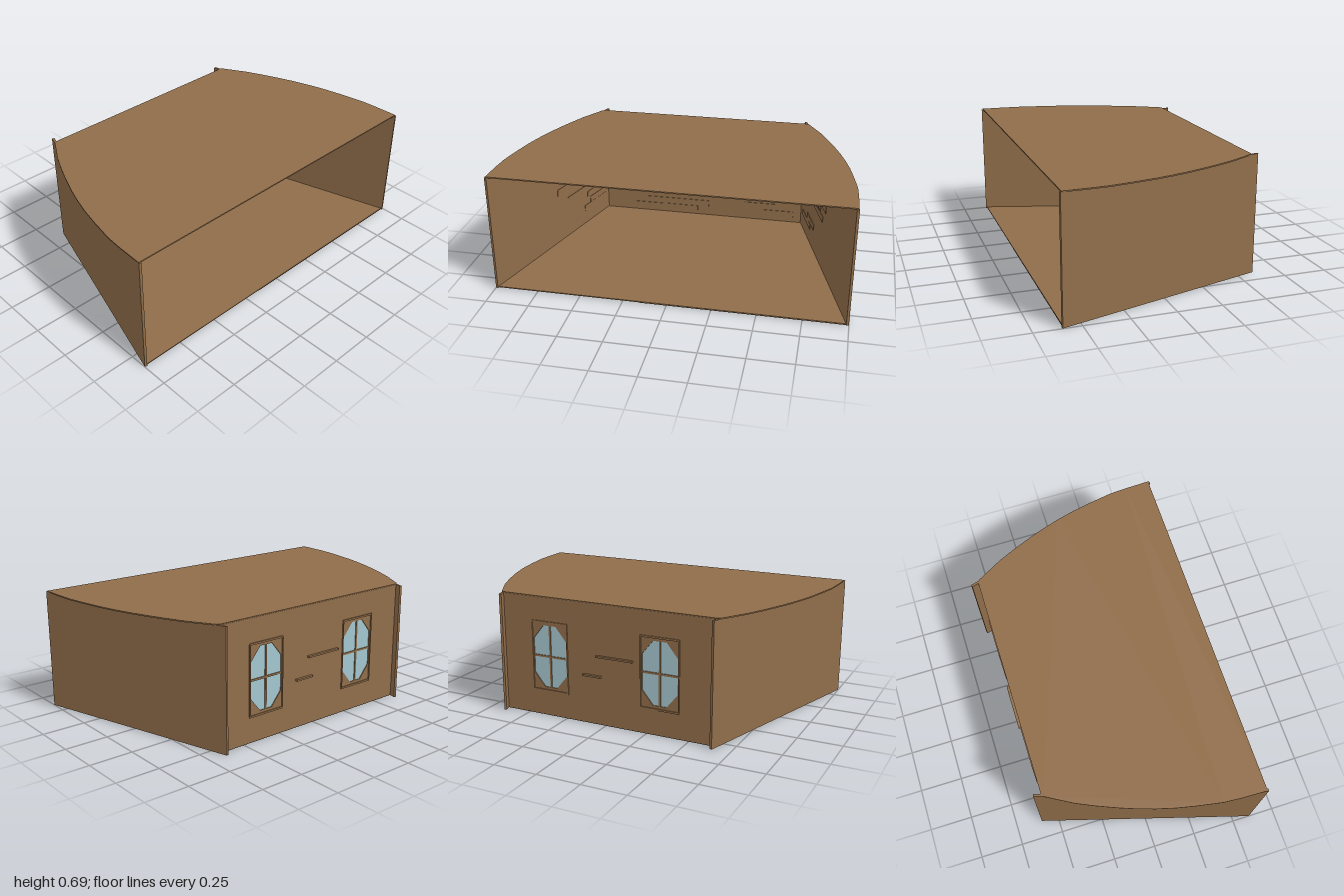
import * as THREE from 'three';

export function createModel() {
  const model = new THREE.Group();
  const wood = new THREE.MeshStandardMaterial({ color: 0x906d4a });
  wood.name = 'brown wood';
  const glass = new THREE.MeshStandardMaterial({ color: 0xa3c6ce });
  glass.name = 'pale blue glass';
  const black = new THREE.MeshStandardMaterial({ color: 0x050505 });
  black.name = 'black underside';

  const add = (parent, name, geo, mat = wood) => {
    const mesh = new THREE.Mesh(geo, mat);
    mesh.name = name;
    parent.add(mesh);
    return mesh;
  };
  const box = (parent, name, w, h, d, x, y, z) =>
    add(parent, name, new THREE.BoxGeometry(w, h, d).translate(x, y, z));
  const shapeOf = (pts) => new THREE.Shape(pts.map(([a, b]) => new THREE.Vector2(a, b)));
  // Horizontal slab from an x,z outline, hanging down from the given top
  const slab = (name, pts, top, depth, mat) =>
    add(model, name, new THREE.ExtrudeGeometry(shapeOf(pts), { depth, bevelEnabled: false })
      .rotateX(Math.PI / 2).translate(0, top, 0), mat);

  // Roof with bowed sides
  const bow = [[-0.545, 0.668], [-0.4, 0.752], [-0.3, 0.798], [-0.2, 0.84], [-0.1, 0.878],
    [0, 0.91], [0.1, 0.937], [0.2, 0.958], [0.35, 0.985], [0.45, 0.992], [0.595, 0.997]];
  const mirrored = bow.map(([x, z]) => [x, -z]).reverse();
  slab('roof', [[-0.555, 0.65], ...bow, ...mirrored, [-0.555, -0.65]], 0.695, 0.007, wood);

  // Floor and its partly blackened underside
  slab('floor', [[-0.555, 0.655], [0.597, 0.995], [0.597, -0.995], [-0.555, -0.655]], 0.008, 0.006, wood);
  slab('floorUnderside', [[-0.555, 0.655], [0.18, 0.872], [0.24, 0.26], [0.597, 0.15],
    [0.597, -0.995], [-0.555, -0.655]], 0.002, 0.002, black);

  // Slanted side walls running past the window wall, with bricks on the inner face
  const slant = Math.atan2(0.35, 1.2);
  const length = Math.hypot(0.35, 1.2);
  const sideBricks = {
    1: [[0.73, 0.6, 0.07, 0.038], [0.755, 0.56, 0.065, 0.042], [0.795, 0.338, 0.06, 0.042],
      [0.71, 0.2, 0.05, 0.035], [0.675, 0.152, 0.06, 0.038], [0.71, 0.113, 0.07, 0.038],
      [0.69, 0.408, 0.1, 0.006], [0.745, 0.265, 0.1, 0.006]],
    '-1': [[0.76, 0.625, 0.06, 0.04], [0.735, 0.585, 0.06, 0.04], [0.805, 0.4, 0.065, 0.042],
      [0.77, 0.358, 0.065, 0.042], [0.79, 0.31, 0.06, 0.035], [0.74, 0.155, 0.05, 0.038],
      [0.71, 0.115, 0.06, 0.038]],
  };
  for (const s of [1, -1]) {
    const side = new THREE.Group();
    side.name = s > 0 ? 'frontSide' : 'backSide';
    side.position.set(-0.6, 0, s * 0.65);
    side.rotation.y = -s * slant;
    box(side, 'sideWall', length, 0.69, 0.014, length / 2, 0.346, -s * 0.007);
    for (const [z, y, w, h] of sideBricks[s]) {
      const along = (z - 0.65) / Math.sin(slant);
      box(side, 'sideBrick', w / Math.sin(slant), h, 0.004,
        Math.max(along, w / 2 / Math.sin(slant) + 0.06), y, -s * 0.015);
    }
    model.add(side);
  }

  // Window wall with two octagonal openings
  const octagon = (u, y, k = 1) => [[-0.04, -0.18], [0.04, -0.18], [0.105, -0.1], [0.105, 0.1],
    [0.04, 0.18], [-0.04, 0.18], [-0.105, 0.1], [-0.105, -0.1]].map(([a, b]) => [u + a * k, y + b * k]);
  const upright = (name, shape, x, depth, mat) =>
    add(model, name, new THREE.ExtrudeGeometry(shape, { depth, bevelEnabled: false })
      .rotateY(Math.PI / 2).translate(x, 0, 0), mat);
  const windows = [-0.33, 0.35];
  const wall = shapeOf([[-0.65, 0.004], [0.65, 0.004], [0.65, 0.69], [-0.65, 0.69]]);
  for (const u of windows) wall.holes.push(new THREE.Path(shapeOf(octagon(u, 0.35)).getPoints()));
  upright('windowWall', wall, -0.557, 0.014, wood);

  for (const u of windows) {
    upright('windowPane', shapeOf(octagon(u, 0.35, 1.01)), -0.552, 0.005, glass);
    box(model, 'windowMullion', 0.014, 0.36, 0.011, -0.55, 0.35, -u);
    box(model, 'windowCrossbar', 0.014, 0.011, 0.21, -0.55, 0.35, -u);
    // Thin rectangular trim around the outside of the window
    for (const t of [-1, 1]) {
      box(model, 'windowLedge', 0.008, 0.01, 0.23, -0.559, 0.35 + t * 0.2, -u);
      box(model, 'windowTrim', 0.008, 0.4, 0.006, -0.559, 0.35, -u + t * 0.113);
    }
  }

  // Bricks on the inner face: u, y, width, height
  const bricks = [[-0.475, 0.652, 0.21, 0.04], [-0.525, 0.609, 0.21, 0.045], [0.12, 0.655, 0.21, 0.042],
    [-0.02, 0.609, 0.24, 0.042], [0.19, 0.609, 0.24, 0.042], [0.05, 0.565, 0.21, 0.042],
    [-0.17, 0.09, 0.42, 0.042], [-0.36, 0.045, 0.21, 0.042], [-0.14, 0.045, 0.21, 0.045],
    [0.385, 0.105, 0.21, 0.042], [0.495, 0.06, 0.21, 0.042]];
  for (const [u, y, w, h] of bricks) box(model, 'wallBrick', 0.004, h, w, -0.541, y, -u);

  // Narrow bars passing through the window wall
  box(model, 'longBar', 0.034, 0.01, 0.225, -0.556, 0.398, 0.06);
  box(model, 'shortBar', 0.034, 0.01, 0.115, -0.556, 0.282, -0.08);
  return model;
}
